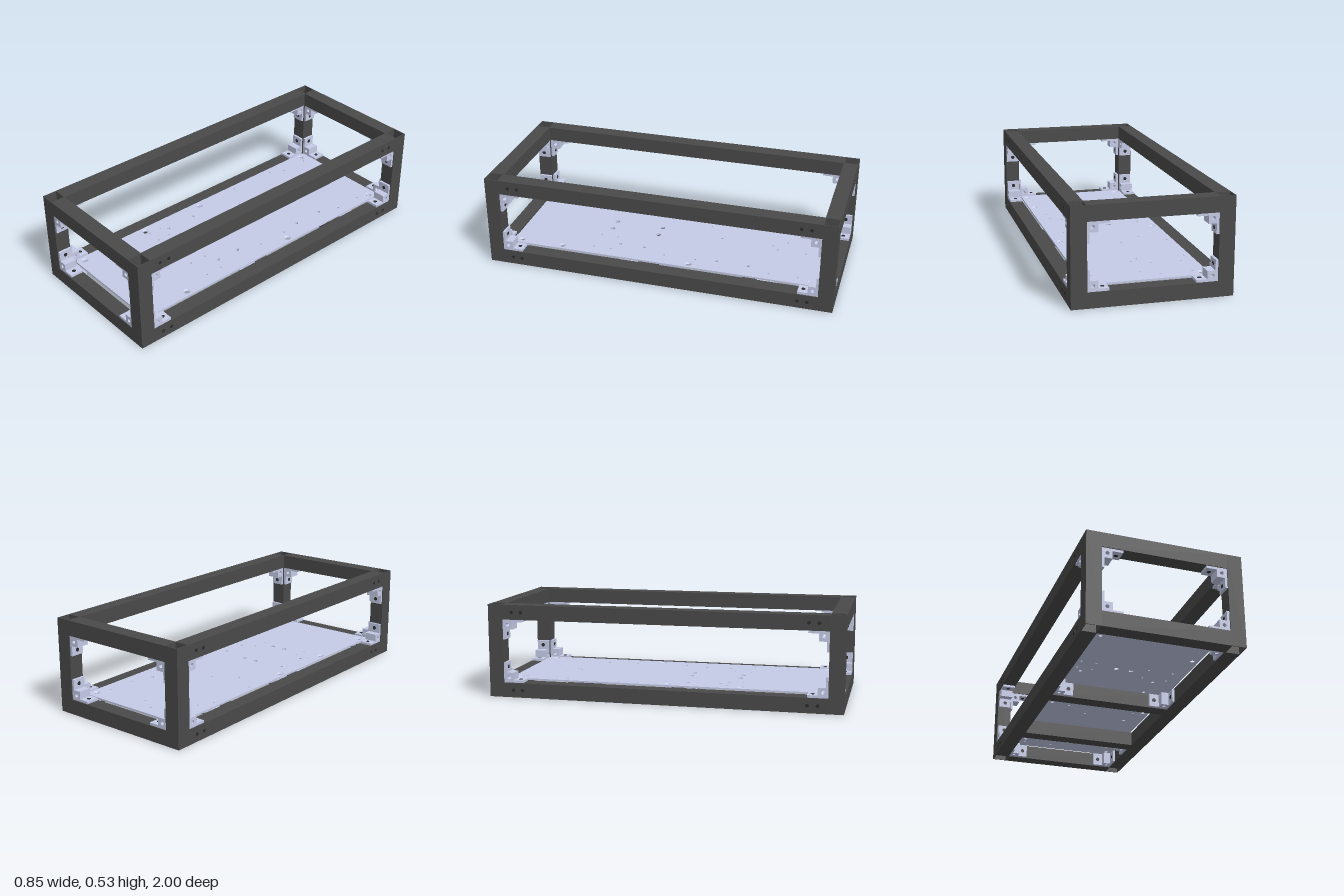
import * as THREE from 'three';

const W = 0.425, L = 1, H = 0.53, T = 0.084; // half width, half length, height, tube size
const IX = W - T, IZ = L - T;

const mats = {
  frame: new THREE.MeshStandardMaterial({ name: 'charcoal frame', color: 0x4a4a4a }),
  plate: new THREE.MeshStandardMaterial({ name: 'pale lavender metal', color: 0xc6cce8 }),
  hole: new THREE.MeshStandardMaterial({ name: 'dark bolt hole', color: 0x2c2c2c }),
};

function mesh(name, geometry, material, parent) {
  const m = new THREE.Mesh(geometry, material);
  m.name = name;
  parent.add(m);
  return m;
}

function circlePath(x, y, r) {
  return new THREE.Path().absarc(x, y, r, 0, Math.PI * 2, true);
}

// Hollow square tube, centred, running along local z
function tubeGeometry(length) {
  const a = T / 2, b = a - 0.004;
  const s = new THREE.Shape([[-a, -a], [a, -a], [a, a], [-a, a]].map(p => new THREE.Vector2(...p)));
  s.holes.push(new THREE.Path([[-b, -b], [-b, b], [b, b], [b, -b]].map(p => new THREE.Vector2(...p))));
  return new THREE.ExtrudeGeometry(s, { depth: length, bevelEnabled: false }).translate(0, 0, -length / 2);
}

// Angle bracket: two legs along +x and +y with a drilled square block in the corner
const LEG = 0.114, BLOCK = 0.057, THICK = 0.014, WIDE = 0.074;
function bracketGeometry() {
  const s = new THREE.Shape([[0, 0], [LEG, 0], [LEG, THICK], [BLOCK, THICK], [BLOCK, BLOCK],
    [THICK, BLOCK], [THICK, LEG], [0, LEG]].map(p => new THREE.Vector2(...p)));
  s.holes.push(circlePath(0.029, 0.03, 0.0105));
  return new THREE.ExtrudeGeometry(s, { depth: WIDE, bevelEnabled: false, curveSegments: 10 })
    .translate(0, 0, -WIDE / 2);
}

// Brackets in the corners of a rectangular opening of half size w by h
function openingBrackets(name, w, h, corners, parent) {
  const opening = new THREE.Group();
  opening.name = name;
  const geo = bracketGeometry();
  const disc = new THREE.CylinderGeometry(0.011, 0.011, 0.001, 16);
  const at = [[-w, -h], [w, -h], [w, h], [-w, h]];
  for (const k of corners) {
    const g = new THREE.Group();
    g.name = 'cornerBracket';
    g.position.set(at[k][0], at[k][1], 0);
    g.rotation.z = k * Math.PI / 2;
    mesh('bracketBody', geo, mats.plate, g);
    mesh('boltHole', disc, mats.hole, g).position.set(0.086, THICK + 0.0005, 0);
    const up = mesh('boltHole', disc, mats.hole, g);
    up.position.set(THICK + 0.0005, 0.086, 0);
    up.rotation.z = Math.PI / 2;
    opening.add(g);
  }
  parent.add(opening);
  return opening;
}

// Floor plate with drilled and countersunk holes; shape y becomes z
function addFloor(root) {
  const x = 0.335, z0 = -0.91, z1 = 0.9, r = 0.03, thick = 0.01, y = T + 0.001;
  const s = new THREE.Shape();
  s.moveTo(-x + r, z0);
  s.lineTo(x - r, z0).quadraticCurveTo(x, z0, x, z0 + r);
  s.lineTo(x, z1 - r).quadraticCurveTo(x, z1, x - r, z1);
  s.lineTo(-x + r, z1).quadraticCurveTo(-x, z1, -x, z1 - r);
  s.lineTo(-x, z0 + r).quadraticCurveTo(-x, z0, -x + r, z0);
  const sunk = [[-0.3, -0.86], [0.3, -0.86], [0.3, -0.16], [-0.3, 0.01],
    [-0.3, 0.425], [0.3, 0.6], [-0.3, 0.855], [0.3, 0.855]];
  const large = [[-0.055, 0.097], [0.03, 0.097], [-0.055, 0.383], [0.03, 0.383]];
  const medium = [[0.23, -0.49], [0.23, -0.305], [0.195, 0.135], [0.195, 0.28], [-0.235, 0.112], [-0.235, 0.3]];
  const small = [[-0.255, -0.84], [-0.085, -0.84], [0.01, -0.78], [0.275, -0.78], [-0.255, -0.66],
    [-0.085, -0.66], [0.01, -0.615], [0.275, -0.615], [-0.3, -0.58], [-0.03, -0.58], [-0.3, -0.275],
    [-0.03, -0.275], [-0.155, -0.185], [0.245, -0.185], [0.245, 0], [-0.265, 0.34], [-0.18, 0.34],
    [-0.265, 0.42], [-0.18, 0.42], [0.12, 0.32], [0.26, 0.32], [0.12, 0.42], [0.26, 0.42]];
  for (const [list, radius] of [[sunk, 0.021], [large, 0.014], [medium, 0.0095], [small, 0.006]])
    for (const [hx, hz] of list) s.holes.push(circlePath(hx, hz, radius));
  const geo = new THREE.ExtrudeGeometry(s, { depth: thick, bevelEnabled: false, curveSegments: 8 });
  geo.rotateX(Math.PI / 2).translate(0, y + thick, 0);
  mesh('floorPlate', geo, mats.plate, root);

  // Countersunk seats, narrowing downwards
  const seat = new THREE.LatheGeometry([[0.021, 0], [0.012, 0], [0.012, 0.003], [0.021, thick]]
    .map(p => new THREE.Vector2(...p)), 20);
  const seatMat = mats.plate.clone();
  seatMat.name = 'pale lavender open metal';
  seatMat.side = THREE.DoubleSide;
  for (const [hx, hz] of sunk) mesh('countersunkSeat', seat, seatMat, root).position.set(hx, y, hz);
}

export function createModel() {
  const root = new THREE.Group();
  root.name = 'boxFrame';
  const cx = W - T / 2, cz = L - T / 2;

  // Corner posts, open at both ends
  const post = tubeGeometry(H).rotateX(Math.PI / 2);
  for (const sx of [-1, 1]) for (const sz of [-1, 1])
    mesh('cornerPost', post, mats.frame, root).position.set(sx * cx, H / 2, sz * cz);

  // Long and short rails at top and bottom
  const longRail = tubeGeometry(2 * IZ);
  const shortRail = tubeGeometry(2 * IX).rotateY(Math.PI / 2);
  for (const y of [T / 2, H - T / 2]) for (const s of [-1, 1]) {
    mesh('longRail', longRail, mats.frame, root).position.set(s * cx, y, 0);
    mesh('shortRail', shortRail, mats.frame, root).position.set(0, y, s * cz);
  }

  // Cross bars under the floor
  const bars = [-0.52, 0.083];
  for (const z of bars) mesh('crossBar', shortRail, mats.frame, root).position.set(0, T / 2, z);

  addFloor(root);

  // Brackets in the end and side openings
  const all = [0, 1, 2, 3], hh = H / 2 - T;
  for (const s of [-1, 1]) {
    openingBrackets('endBrackets', IX, hh, all, root).position.set(0, H / 2, s * cz);
    const side = openingBrackets('sideBrackets', IZ, hh, all, root);
    side.position.set(s * cx, H / 2, 0);
    side.rotation.y = Math.PI / 2;
  }

  // Flat brackets in the bays of the base
  const bays = [[-IZ, bars[0] - T / 2, all], [bars[0] + T / 2, bars[1] - T / 2, [3]], [bars[1] + T / 2, IZ, all]];
  for (const [a, b, corners] of bays) {
    const bay = openingBrackets('baseBrackets', IX, (b - a) / 2, corners, root);
    bay.position.set(0, T / 2, (a + b) / 2);
    bay.rotation.x = Math.PI / 2;
  }

  // Bolt holes on the outer sides of the long rails
  const bolt = new THREE.CylinderGeometry(0.01, 0.01, 0.001, 16).rotateZ(Math.PI / 2);
  for (const sx of [-1, 1]) for (const y of [T / 2, H - T / 2])
    for (const z of [-0.86, -0.805, 0.805, 0.86])
      mesh('railBoltHole', bolt, mats.hole, root).position.set(sx * (W + 0.0003), y, z);

  return root;
}
